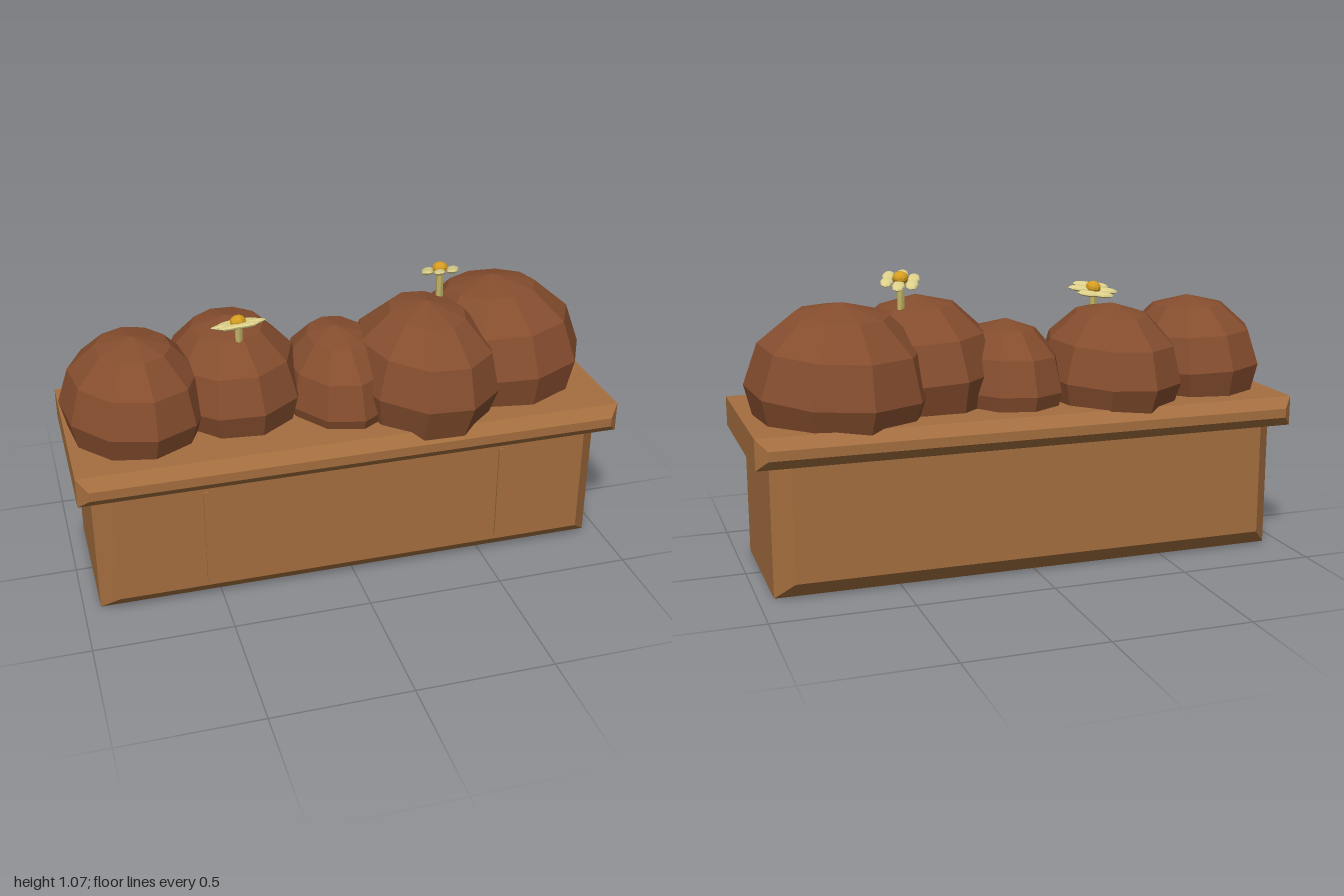
import * as THREE from 'three';

const material = (name, color, flatShading = true) =>
  new THREE.MeshStandardMaterial({ name, color, flatShading });

export function createModel() {
  const wood = material('wood', 0xa46e3f);
  const soil = material('soil brown', 0x854d2e);
  const petalColor = material('petal cream', 0xddd08a);
  const stemColor = material('stem olive', 0xbfb265);
  const pollen = material('pollen gold', 0xd69d1f);

  const model = new THREE.Group();
  model.name = 'planter';

  const add = (parent, name, geometry, mat) => {
    const mesh = new THREE.Mesh(geometry, mat);
    mesh.name = name;
    parent.add(mesh);
    return mesh;
  };

  // Block whose front and back faces are chamfered all round
  const chamferedBlock = (x0, x1, y0, y1, z0, z1, bevel) => {
    const shape = new THREE.Shape([
      new THREE.Vector2(x0, y0), new THREE.Vector2(x1, y0),
      new THREE.Vector2(x1, y1), new THREE.Vector2(x0, y1),
    ]);
    return new THREE.ExtrudeGeometry(shape, {
      depth: z1 - z0 - 2 * bevel,
      bevelEnabled: true, bevelSegments: 1,
      bevelSize: bevel, bevelThickness: bevel, bevelOffset: -bevel,
    }).translate(0, 0, z0 + bevel);
  };

  // Wooden trough and its overhanging rim
  add(model, 'troughBody', chamferedBlock(-0.94, 0.945, 0, 0.56, -0.345, 0.32, 0.065), wood);
  add(model, 'rim', chamferedBlock(-0.99, 1.0, 0.475, 0.585, -0.39, 0.367, 0.038), wood);

  // Thin battens on the front
  for (const x of [-0.55, 0.55]) {
    const batten = add(model, 'frontBatten', new THREE.BoxGeometry(0.016, 0.377, 0.012), wood);
    batten.position.set(x, 0.269, 0.322);
  }

  // Faceted mounds: centre, radii, yaw, tilt about x and z
  const mounds = [
    [[-0.735, 0.675, -0.005], [0.265, 0.257, 0.305], 0.17, 0.02, -0.04],
    [[-0.365, 0.665, -0.085], [0.265, 0.265, 0.325], 0.1, -0.03, 0.03],
    [[0.02, 0.63, -0.015], [0.215, 0.25, 0.29], 0.2, 0.03, 0.02],
    [[0.32, 0.69, 0.07], [0.28, 0.283, 0.345], 0, 0.02, -0.05],
    [[0.65, 0.678, -0.06], [0.335, 0.302, 0.345], 0.17, -0.07, 0.04],
  ];
  const moundGeometry = new THREE.SphereGeometry(1, 10, 6);
  for (const [centre, radii, yaw, tiltX, tiltZ] of mounds) {
    const geometry = moundGeometry.clone().rotateY(-yaw).scale(...radii);
    const mound = add(model, 'mound', geometry, soil);
    mound.position.set(...centre);
    mound.rotation.set(tiltX, 0, tiltZ);
  }

  // Flower: six parallel petals set on a ring, gold centre, upright stem
  const addFlower = (x, y, z, yaw, tiltX, tiltZ, stemLength) => {
    const flower = new THREE.Group();
    flower.name = 'flower';
    flower.position.set(x, y, z);
    const stem = add(flower, 'stem',
      new THREE.CylinderGeometry(0.014, 0.014, stemLength, 6), stemColor);
    stem.position.y = -stemLength / 2;

    const head = new THREE.Group();
    head.name = 'flowerHead';
    head.rotation.set(tiltX, 0, tiltZ);
    const ring = new THREE.Group();
    ring.name = 'petals';
    ring.rotation.y = yaw;
    for (let i = 0; i < 6; i++) {
      const angle = (i * Math.PI) / 3;
      const petal = add(ring, 'petal', new THREE.SphereGeometry(1, 8, 6), petalColor);
      petal.scale.set(0.046, 0.01, 0.023);
      petal.position.set(0.052 * Math.cos(angle), 0, 0.052 * Math.sin(angle));
    }
    const centre = add(head, 'flowerCentre', new THREE.SphereGeometry(0.029, 10, 8), pollen);
    centre.scale.y = 0.8;
    centre.position.y = 0.01;
    head.add(ring);
    flower.add(head);
    model.add(flower);
  };
  addFlower(-0.36, 0.958, 0.06, -0.15, -0.28, 0.08, 0.09);
  addFlower(0.415, 1.038, -0.027, 1.2, -0.28, 0, 0.14);

  return model;
}
